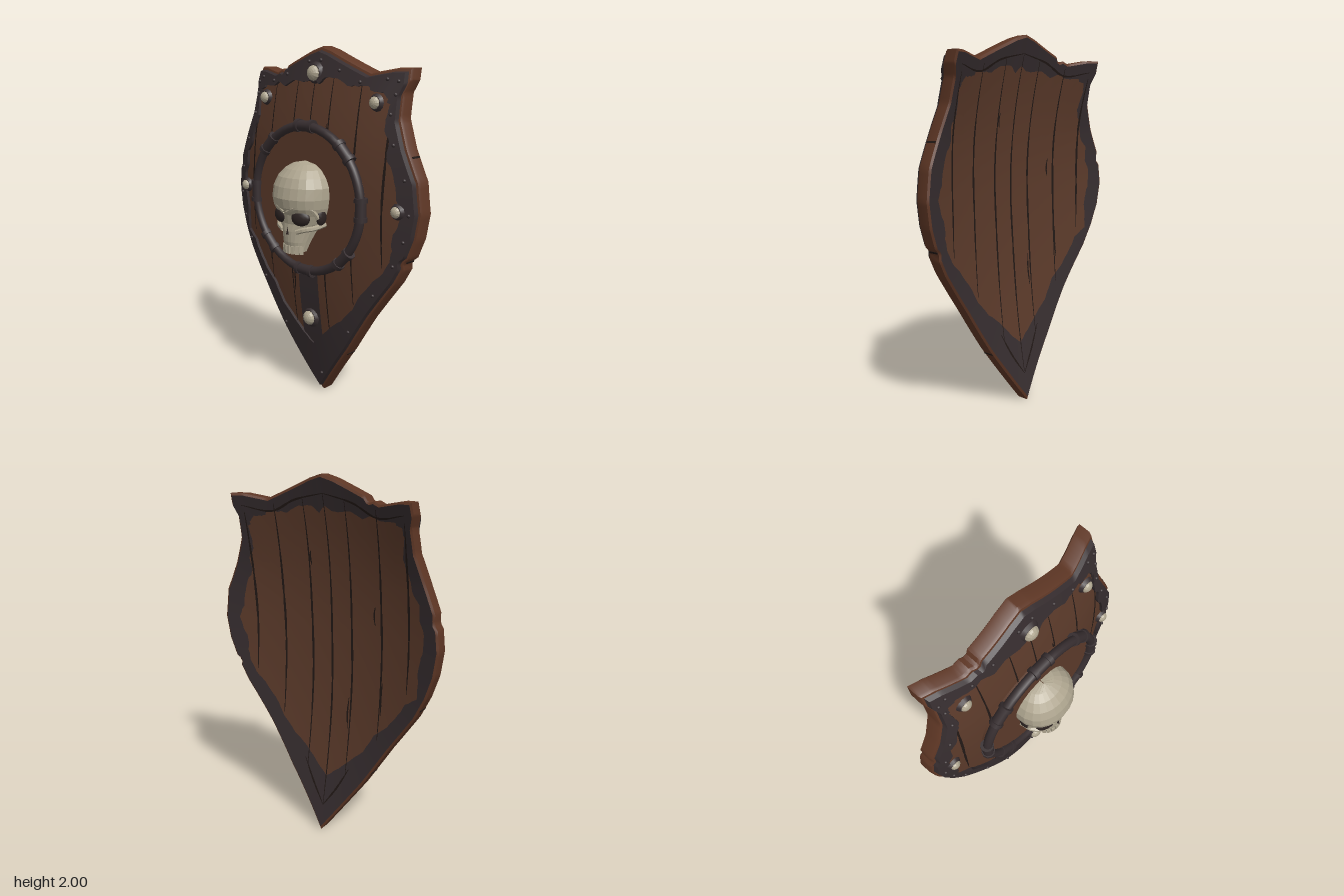
import * as THREE from 'three';
import { toCreasedNormals } from 'three/addons/utils/BufferGeometryUtils.js';

const mat = (name, color, extra = {}) => Object.assign(new THREE.MeshStandardMaterial({ color, ...extra }), { name });

// Half outline, top to bottom: outer z, outer y, inner rim z, inner rim y
const HALF = [
  [0, 2.0, 0, 1.82], [0.07, 1.98, 0.08, 1.83], [0.24, 1.91, 0.24, 1.81], [0.35, 1.865, 0.35, 1.79],
  [0.49, 1.89, 0.43, 1.78], [0.552, 1.89, 0.47, 1.76], [0.557, 1.83, 0.48, 1.73], [0.537, 1.77, 0.48, 1.68],
  [0.545, 1.645, 0.49, 1.58], [0.6, 1.5, 0.51, 1.46], [0.67, 1.34, 0.58, 1.32], [0.69, 1.18, 0.59, 1.18],
  [0.67, 1.05, 0.57, 1.05], [0.625, 0.925, 0.55, 0.92], [0.56, 0.8, 0.46, 0.79], [0.4, 0.575, 0.31, 0.62],
  [0.245, 0.335, 0.15, 0.45], [0, 0, 0, 0.34],
];
const NOTCHES = [[-0.67, 1.33], [-0.29, 1.89], [0.62, 0.92]];
const THICK = 0.085, PLANK = 0.004, CENTRE = [0, 1.15];

// Front face depth of the bowed board, with the top corners curled back
const bow = (z, y) => {
  const t = (y - 1.2) / (y > 1.2 ? 0.8 : 1.2);
  const curl = 0.07 * z * z * Math.max(0, (y - 1.5) / 0.39);
  return -0.04 + 0.11 * (z / 0.68) ** 2 + (y > 1.2 ? 0.12 : 0.138) * t * t + curl;
};
const lerp2 = (a, b, t) => [a[0] + (b[0] - a[0]) * t, a[1] + (b[1] - a[1]) * t];

let seed = 7;
const rand = () => (seed = (seed * 16807) % 2147483647) / 2147483647;

// Closed outer loop and a softly ragged inner loop
function makeLoops() {
  const full = [...HALF, ...HALF.slice(1, -1).reverse().map(([a, b, c, d]) => [-a, b, -c, d])];
  const wobble = full.map(() => [(rand() - 0.5) * 0.07, (rand() - 0.5) * 0.07]);
  const outer = [], inner = [], n = 6;
  full.forEach((p, i) => {
    const j = (i + 1) % full.length, q = full[j];
    for (let k = 0; k < n; k++) {
      const t = k / n, o = lerp2(p, q, t), s = lerp2(p.slice(2), q.slice(2), t);
      const wave = t < 0.5 ? wobble[i][0] + (wobble[i][1] - wobble[i][0]) * t * 2
        : wobble[i][1] + (wobble[j][0] - wobble[i][1]) * (t * 2 - 1);
      const cut = NOTCHES.some(([z, y]) => Math.hypot(o[0] - z, o[1] - y) < 0.022);
      outer.push(cut ? lerp2(o, CENTRE, 0.02) : o);
      inner.push(lerp2(s, CENTRE, wave + (rand() - 0.5) * 0.012));
    }
  });
  return { outer, inner };
}

// Skin rows of [x, y, z] points
function skin(rows, closed = true, crease = 0.6) {
  const n = rows[0].length, pos = rows.flat(2), idx = [];
  for (let r = 0; r < rows.length - 1; r++) {
    for (let i = 0; i < (closed ? n : n - 1); i++) {
      const j = (i + 1) % n, a = r * n + i, b = r * n + j, c = b + n, d = a + n;
      idx.push(a, b, c, a, c, d);
    }
  }
  const g = new THREE.BufferGeometry();
  g.setAttribute('position', new THREE.Float32BufferAttribute(pos, 3));
  g.setIndex(idx);
  return toCreasedNormals(g, crease);
}

export function createModel() {
  const root = new THREE.Group();
  root.name = 'shield';
  const wood = mat('wood', 0x5b3a2a);
  const edgeWood = mat('edge wood', 0x5f3725);
  const iron = mat('dark iron', 0x362d2f);
  const groove = mat('groove', 0x211815, { side: THREE.DoubleSide });
  const bone = mat('bone', 0xaea58f, { flatShading: true, side: THREE.DoubleSide });
  const socket = mat('socket', 0x2c2322);

  const add = (name, geo, material, pos = [0, 0, 0], parent = root) => {
    const m = new THREE.Mesh(geo, material);
    m.name = name;
    m.position.set(...pos);
    parent.add(m);
    return m;
  };

  const { outer, inner } = makeLoops();
  const row = (loop, s, dx) => loop.map(p => {
    const [z, y] = lerp2(CENTRE, p, s);
    return [bow(z, y) + dx, y, z];
  });
  const steps = Array.from({ length: 9 }, (_, i) => i / 8);

  // Wooden board and its iron rim, worked from front centre round to back centre
  add('frontPlanks', skin(steps.map(s => row(inner, s, -PLANK))), wood);
  add('frontRim', skin([row(inner, 1, -PLANK), row(inner, 1, -0.022), row(outer, 0.965, -0.022), row(outer, 0.975, 0)]), iron);
  add('woodenEdge', skin([row(outer, 0.96, 0), row(outer, 0.99, 0), row(outer, 1, 0.012),
    row(outer, 1, THICK - 0.01), row(outer, 0.983, THICK)]), edgeWood);
  add('backRim', skin([row(outer, 0.983, THICK), row(inner, 1, THICK)]), iron);
  add('backPlanks', skin([...steps].reverse().map(s => row(inner, s, THICK))), wood);

  // Thin ribbons that follow the board on either face
  const ribbon = (name, pts, width, back, material = groove, lift = 0.004) => {
    const path = new THREE.CatmullRomCurve3(pts.map(([z, y]) => new THREE.Vector3(0, y, z)));
    const sides = [[], []];
    for (let i = 0; i <= 24; i++) {
      const p = path.getPoint(i / 24), t = path.getTangent(i / 24);
      const w = width * (material === groove ? 0.25 + 0.75 * Math.sin(Math.PI * i / 24) * (i % 5 ? 1 : 0.6) : 1) / 2;
      [1, -1].forEach((s, k) => {
        const z = p.z + s * t.y * w, y = p.y - s * t.z * w;
        sides[k].push([bow(z, y) + (back ? THICK + lift : -PLANK - lift), y, z]);
      });
    }
    add(name, skin(back ? sides.reverse() : sides, false), material);
  };
  const seams = [[0.49, 1.79, 0.88], [0.31, 1.84, 0.64], [0.13, 1.87, 0.36], [0, 1.9, 0.16],
    [-0.13, 1.87, 0.37], [-0.325, 1.84, 0.62], [-0.5, 1.79, 0.92]];
  for (const back of [false, true]) {
    for (const [z, top, low] of seams) {
      const mid = (top + low) / 2;
      ribbon('plankSeam', [[z, top], [z + 0.006, mid + 0.2], [z - 0.004, mid - 0.2], [z, low]], 0.014, back);
    }
    // Short splits in the wood
    for (const [z, y, l] of [[0.12, 1.56, 0.08], [-0.34, 0.85, 0.18], [-0.28, 1.29, 0.1], [-0.12, 0.72, 0.18]])
      ribbon('woodSplit', [[z, y + l / 2], [z + 0.006, y], [z, y - l / 2]], 0.011, back);
  }
  for (const s of [1, -1]) {
    ribbon('topRimLine', [[0, 1.905], [s * 0.18, 1.865], [s * 0.33, 1.8], [s * 0.5, 1.825]], 0.012, true);
    ribbon('bottomRimLine', [[0, 0.15], [s * 0.08, 0.27], [s * 0.15, 0.4]], 0.012, true);
  }
  ribbon('lowerStrap', [[0, 0.32], [0, 0.55], [0, 0.8]], 0.15, false, iron, 0.009);

  // Thin cracks across the wooden edge: outline segment and position along it
  for (const [i, t] of [[9, 0.3], [13, 0.05], [16, 0.1], [24, 0.2], [20, 0.5], [18, 0.4]]) {
    const a = outer[i * 6], b = outer[i * 6 + 5], [z, y] = lerp2(lerp2(a, b, t), CENTRE, 0.001);
    const c = add('edgeCrack', new THREE.BoxGeometry(THICK - 0.024, 0.01, 0.006), groove, [bow(z, y) + THICK / 2, y, z]);
    c.rotation.x = Math.atan2(a[0] - b[0], a[1] - b[1]);
  }

  // Small rim rivets
  const rivet = new THREE.SphereGeometry(0.01, 8, 6);
  for (let i = 3; i < outer.length; i += 7) {
    const [z, y] = lerp2(CENTRE, outer[i], 0.925);
    add('rimRivet', rivet, iron, [bow(z, y) - 0.023, y, z]);
  }

  // Bone studs on iron collars
  for (const [z, y, r] of [[0, 1.86, 0.042], [0.41, 1.72, 0.032], [-0.41, 1.72, 0.032],
    [0.575, 1.19, 0.03], [-0.575, 1.19, 0.03], [0, 0.49, 0.042]]) {
    const g = new THREE.Group();
    g.name = 'stud';
    g.position.set(bow(z, y) - 0.018, y, z);
    g.rotation.z = Math.PI / 2;
    root.add(g);
    add('studCollar', new THREE.CylinderGeometry(r * 1.1, r * 1.45, 0.018, 12), iron, [0, 0.003, 0], g);
    add('studCap', new THREE.SphereGeometry(r, 12, 5, 0, Math.PI * 2, 0, Math.PI / 2), bone, [0, 0.008, 0], g).scale.y = 0.8;
  }

  // Central boss: plate, iron ring and clamps
  const CY = 1.185;
  add('bossPlate', new THREE.CylinderGeometry(0.395, 0.395, 0.07, 40), wood, [-0.013, CY, 0]).rotation.z = Math.PI / 2;
  add('bossRing', new THREE.TorusGeometry(0.4, 0.025, 10, 48), iron, [-0.052, CY, 0]).rotation.y = Math.PI / 2;
  for (let i = 0; i < 8; i++) {
    const a = i * Math.PI / 4;
    const g = new THREE.Group();
    g.name = 'ringClamp';
    g.position.set(-0.051, CY + 0.4 * Math.cos(a), 0.4 * Math.sin(a));
    g.rotation.x = a + Math.PI / 2;
    root.add(g);
    add('clampSleeve', new THREE.CylinderGeometry(0.03, 0.03, 0.12, 10), iron, [0, 0, 0], g);
    for (const s of [1, -1]) add('clampBand', new THREE.CylinderGeometry(0.036, 0.036, 0.024, 10), iron, [0, s * 0.05, 0], g);
  }

  // Skull cross-sections, bottom to top: y, half width, front depth, back depth
  const sections = [[0.915, 0.068, -0.172, -0.11], [0.97, 0.082, -0.184, -0.09], [1.03, 0.1, -0.186, -0.06],
    [1.07, 0.14, -0.18, -0.03], [1.12, 0.16, -0.188, -0.03], [1.16, 0.172, -0.213, -0.03], [1.21, 0.18, -0.222, -0.03],
    [1.27, 0.178, -0.21, -0.03], [1.32, 0.155, -0.188, -0.03], [1.36, 0.12, -0.15, -0.03], [1.385, 0.08, -0.11, -0.03],
    [1.4, 0.002, -0.075, -0.03]];
  const skull = new THREE.Group();
  skull.name = 'skull';
  root.add(skull);
  const surface = (w, x, back, a) => [back + (x - back) * Math.sin(a) ** 0.75, w * Math.cos(a)];
  add('cranium', skin(sections.map(([y, w, x, back]) => Array.from({ length: 13 }, (_, i) => {
    const [px, z] = surface(w, x, back, Math.PI * i / 12);
    return [px, y, z];
  })).reverse(), false), bone, [0, 0, 0], skull);
  const tube = (name, pts, s, r) => {
    const curve = new THREE.CatmullRomCurve3(pts.map(([x, y, z]) => new THREE.Vector3(x, y, s * z)));
    add(name, new THREE.TubeGeometry(curve, 8, r, 6), bone, [0, 0, 0], skull);
  };
  for (const s of [1, -1]) {
    const eye = add('eyeSocket', new THREE.SphereGeometry(1, 12, 8), socket, [-0.163, 1.11, s * 0.078], skull);
    eye.scale.set(0.027, 0.044, 0.056);
    eye.rotation.y = s * 0.35;
    tube('browBone', [[-0.196, 1.14, 0.01], [-0.19, 1.168, 0.07], [-0.138, 1.158, 0.135], [-0.105, 1.11, 0.15]], s, 0.013);
    tube('cheekBone', [[-0.17, 1.03, 0.05], [-0.152, 1.047, 0.1], [-0.115, 1.055, 0.135], [-0.05, 1.07, 0.152]], s, 0.014);
    const temple = add('templeHollow', new THREE.SphereGeometry(1, 10, 8), socket, [-0.078, 1.115, s * 0.148], skull);
    temple.scale.set(0.036, 0.05, 0.02);
  }
  const nose = add('noseHole', new THREE.ConeGeometry(0.024, 0.065, 3), socket, [-0.175, 1.045, 0], skull);
  nose.rotation.y = -Math.PI / 2;
  for (let i = -3; i <= 3; i++) {
    const [x, z] = surface(0.072, -0.175, -0.1, Math.PI / 2 + i * 0.36);
    const tooth = add('tooth', new THREE.BoxGeometry(0.02, 0.045, 0.021), bone, [x, 0.927, z], skull);
    tooth.rotation.y = i * -0.28;
  }
  return root;
}
